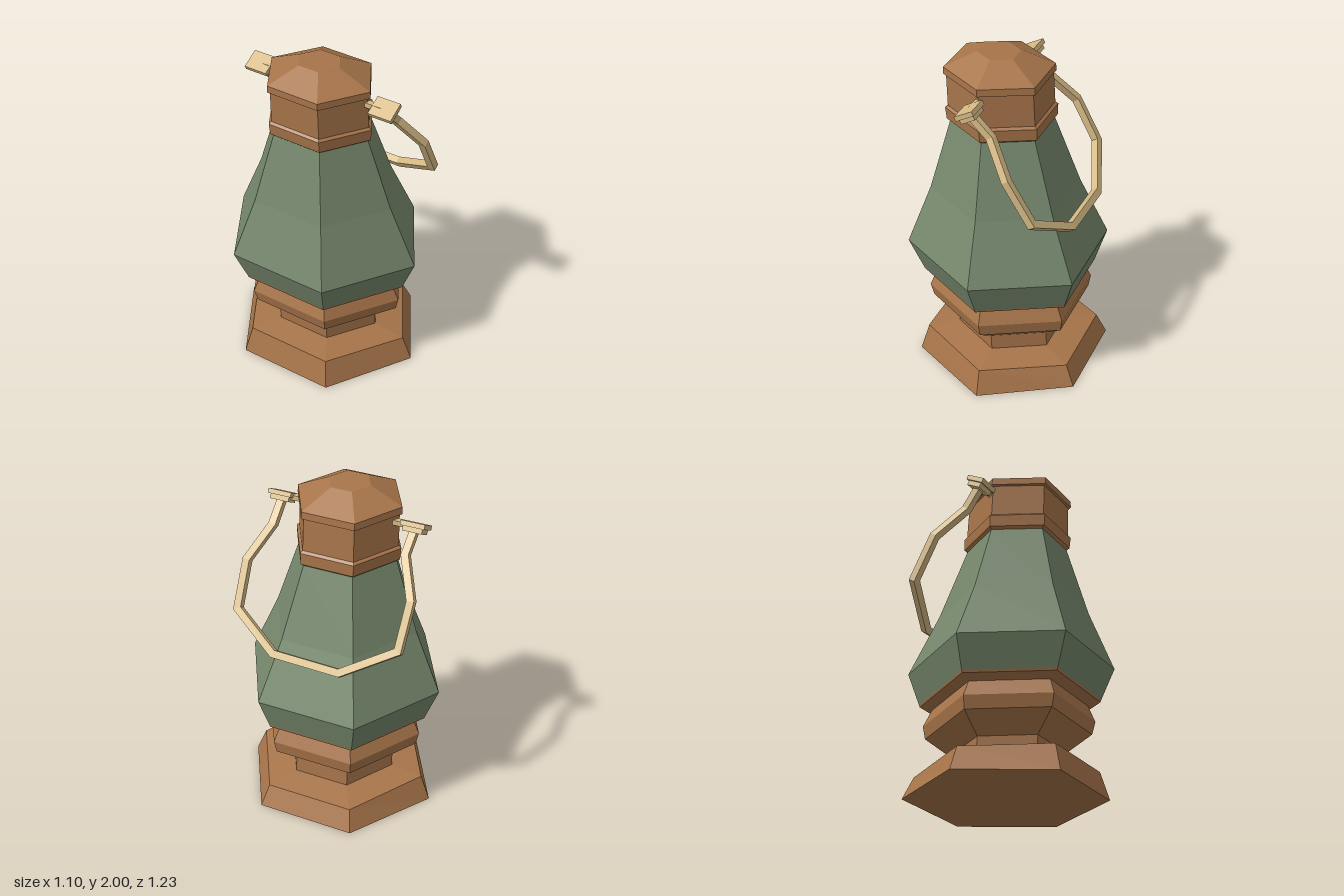
import * as THREE from 'three';

const YAW = 0.065; // slight turn of the hexagonal plan

const flat = (geometry) => {
  const g = geometry.index ? geometry.toNonIndexed() : geometry;
  g.computeVertexNormals();
  return g;
};

// Six-sided turned part with the lantern's crooked lean and slanted rings
function hexPart(name, profile, material) {
  const points = profile.map(([r, y]) => new THREE.Vector2(r, y));
  const g = new THREE.LatheGeometry(points, 6, YAW);
  const p = g.attributes.position;
  for (let i = 0; i < p.count; i++) {
    const x = p.getX(i), y = p.getY(i);
    const slant = 0.044 * Math.min(1, y / 0.14); // underside stays level
    p.setX(i, x * 0.973 + 0.0225 - 0.05 * y);
    p.setY(i, y - x * slant);
  }
  const mesh = new THREE.Mesh(flat(g), material);
  mesh.name = name;
  return mesh;
}

// Square bar swept along a path with mitred corners
function barGeometry(path, normal, halfN, halfS) {
  const rings = path.map((pt, i) => {
    const a = pt.clone().sub(path[Math.max(i - 1, 0)]).normalize();
    const b = path[Math.min(i + 1, path.length - 1)].clone().sub(pt).normalize();
    const t = a.clone().add(b).normalize();
    const miter = 1 / Math.max(t.dot(a.lengthSq() ? a : b), 0.5);
    const s = t.clone().cross(normal).normalize();
    return [[1, 1], [-1, 1], [-1, -1], [1, -1]].map(([n, k]) =>
      pt.clone().addScaledVector(normal, n * halfN).addScaledVector(s, k * halfS * miter));
  });
  const v = [];
  const quad = (a, b, c, d) => [a, b, c, a, c, d].forEach((q) => v.push(q.x, q.y, q.z));
  for (let i = 0; i < rings.length - 1; i++) {
    for (let j = 0; j < 4; j++) {
      const k = (j + 1) % 4;
      quad(rings[i][j], rings[i][k], rings[i + 1][k], rings[i + 1][j]);
    }
  }
  const [a, b, c, d] = rings[0];
  quad(d, c, b, a);
  quad(...rings[rings.length - 1]);
  const g = new THREE.BufferGeometry();
  g.setAttribute('position', new THREE.Float32BufferAttribute(v, 3));
  return flat(g);
}

export function createModel() {
  const model = new THREE.Group();
  model.name = 'lantern';
  const copper = new THREE.MeshStandardMaterial({ name: 'copper brown', color: 0xa8754a });
  const green = new THREE.MeshStandardMaterial({ name: 'sage green', color: 0x76886d });
  const brass = new THREE.MeshStandardMaterial({ name: 'pale brass', color: 0xd6ba85 });

  // Stacked hexagonal sections, as [radius, height] profiles
  model.add(
    hexPart('base', [[0, 0], [0.6, 0], [0.54, 0.147], [0.342, 0.17]], copper),
    hexPart('waist', [[0.342, 0.17], [0.342, 0.267]], copper),
    hexPart('bulge', [[0.342, 0.267], [0.49, 0.375], [0.508, 0.452], [0.462, 0.55]], copper),
    hexPart('bodyLip', [[0.462, 0.55], [0.535, 0.572], [0.54, 0.586]], copper),
    hexPart('body', [[0.54, 0.586], [0.617, 0.778], [0.455, 1.14], [0.307, 1.575]], green),
    hexPart('collar', [[0.3, 1.565], [0.327, 1.585], [0.332, 1.655], [0.315, 1.668]], copper),
    hexPart('neck', [[0.315, 1.668], [0.312, 1.862]], copper),
    hexPart('cap', [[0.312, 1.862], [0.328, 1.866], [0.326, 1.908], [0.13, 1.997], [0, 1.997]], copper),
  );

  // Pivot knobs: stepped blocks on short pins at either side of the neck
  for (const side of [1, -1]) {
    const knob = new THREE.Group();
    knob.name = side > 0 ? 'frontKnob' : 'backKnob';
    knob.position.set(-0.058 + side * 0.014, 1.818, side * 0.42);
    knob.rotation.y = YAW;
    const add = (name, size, x, y, z, tilt) => {
      const m = new THREE.Mesh(flat(new THREE.BoxGeometry(...size)), brass);
      m.name = name;
      m.position.set(x, y, z);
      m.rotation.z = tilt;
      knob.add(m);
    };
    add('knobPlate', [0.118, 0.028, 0.145], -0.005, 0.01, 0, 0.48);
    add('knobBlock', [0.092, 0.03, 0.118], 0.008, -0.014, 0, 0.48);
    add('pin', [0.035, 0.03, 0.15], 0, 0.006, -side * 0.09, 0);
    model.add(knob);
  }

  // Swung-down carrying handle
  const path = [
    [-0.025, 1.795, 0.42], [0.08, 1.69, 0.415], [0.22, 1.5, 0.51], [0.365, 1.25, 0.49],
    [0.468, 1.09, 0.19], [0.447, 1.085, -0.23], [0.315, 1.25, -0.53], [0.175, 1.5, -0.53],
    [0.03, 1.69, -0.415], [-0.055, 1.795, -0.42],
  ].map((q) => new THREE.Vector3(...q));
  const normal = new THREE.Vector3(0.85, 0.52, -0.05).normalize();
  const handle = new THREE.Mesh(barGeometry(path, normal, 0.022, 0.022), brass);
  handle.name = 'handle';
  model.add(handle);

  return model;
}
